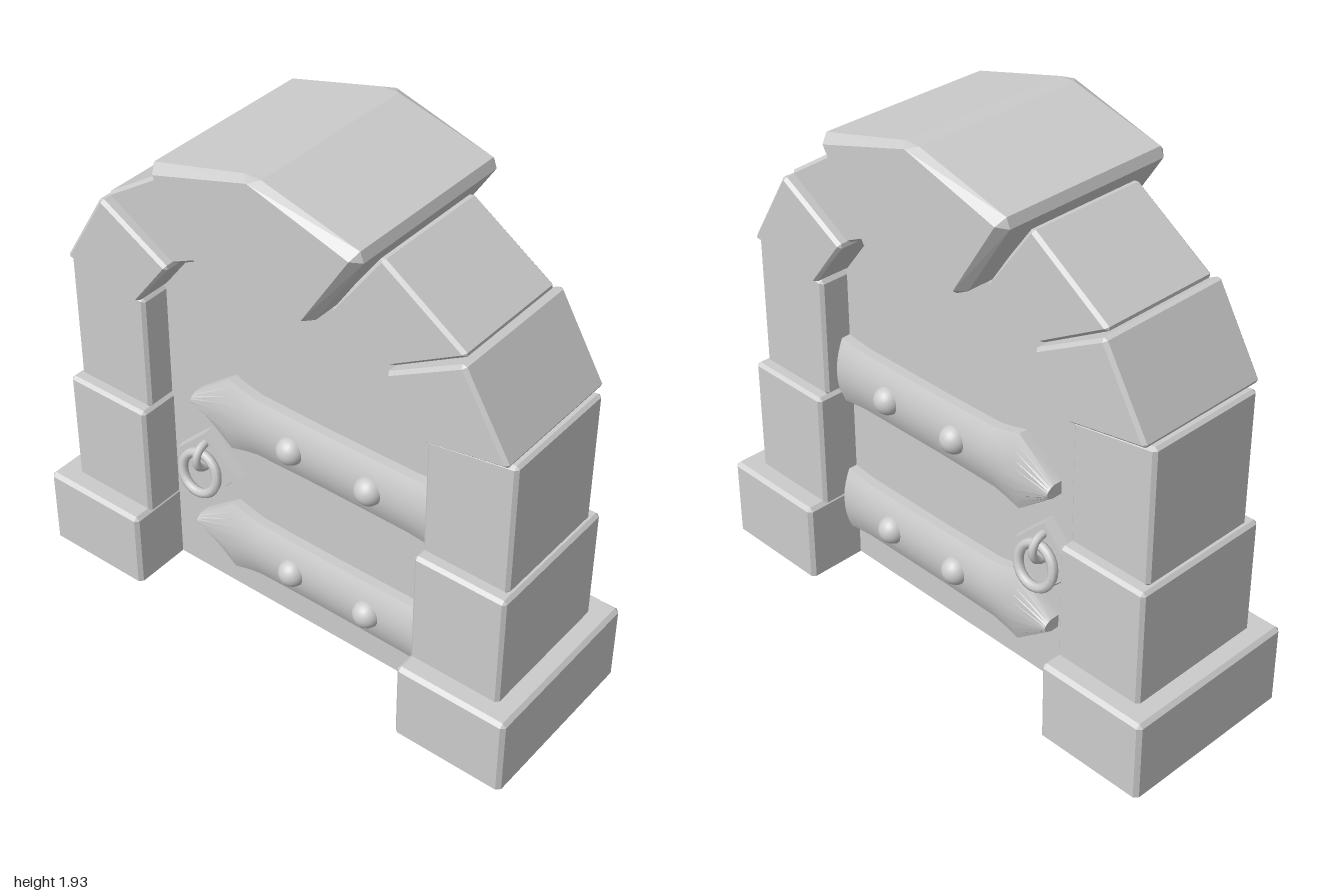
import * as THREE from 'three';
import { ConvexGeometry } from 'three/addons/geometries/ConvexGeometry.js';
import { toCreasedNormals } from 'three/addons/utils/BufferGeometryUtils.js';

const stoneMat = new THREE.MeshStandardMaterial({ color: 0xcccccc, flatShading: true, side: THREE.DoubleSide });
const smoothMat = new THREE.MeshStandardMaterial({ color: 0xcccccc, side: THREE.DoubleSide });

function add(parent, name, geometry, material, x = 0, y = 0, z = 0) {
  const mesh = new THREE.Mesh(geometry, material);
  mesh.name = name;
  mesh.position.set(x, y, z);
  parent.add(mesh);
  return mesh;
}

// Convex outline in x/y, given depth in z, every edge chamfered by c
function chamferedStone(outline, halfDepth, c) {
  const pts = [];
  const n = outline.length;
  const corners = outline.map(([x, y]) => new THREE.Vector3(x, y, 0));
  corners.forEach((p, i) => {
    const a = corners[(i + 1) % n].clone().sub(p).normalize().multiplyScalar(c);
    const b = corners[(i + n - 1) % n].clone().sub(p).normalize().multiplyScalar(c);
    for (const s of [-1, 1]) {
      const q = p.clone().setZ(s * halfDepth);
      const d = new THREE.Vector3(0, 0, -s * c);
      pts.push(q.clone().add(a).add(b), q.clone().add(a).add(d), q.clone().add(b).add(d));
    }
  });
  return new ConvexGeometry(pts);
}

// Footing: chamfered on top and upright edges, open underneath
function footingGeometry(x0, x1, h, d, c) {
  const pts = [];
  for (const [x, sx] of [[x0, 1], [x1, -1]]) for (const s of [-1, 1]) {
    const z = s * d;
    pts.push(new THREE.Vector3(x + sx * c, h, z - s * c));
    for (const y of [0, h - c]) {
      pts.push(new THREE.Vector3(x + sx * c, y, z), new THREE.Vector3(x, y, z - s * c));
    }
  }
  const hull = new ConvexGeometry(pts);
  const src = hull.attributes.position.array;
  const keep = [];
  for (let i = 0; i < src.length; i += 9) {
    if (Math.max(src[i + 1], src[i + 4], src[i + 7]) > 1e-4) keep.push(...src.slice(i, i + 9));
  }
  const g = new THREE.BufferGeometry();
  g.setAttribute('position', new THREE.Float32BufferAttribute(keep, 3));
  g.computeVertexNormals();
  return g;
}

// Domed hinge strap: stations along x with half height, closed down to z = 0
function strapGeometry() {
  const stations = [[-0.435, 0.025, 0], [-0.435, 0.025, 1], [-0.28, 0.147, 1], [-0.225, 0.13, 1],
    [-0.165, 0.117, 1], [0.1, 0.113, 1], [0.47, 0.115, 1], [0.54, 0.122, 1], [0.64, 0.135, 1]];
  const rows = 12;
  const g = new THREE.PlaneGeometry(1, 1, stations.length - 1, rows);
  const p = g.attributes.position;
  for (let r = 0; r <= rows; r++) {
    const t = THREE.MathUtils.clamp(1 - 2 * (r - 1) / (rows - 2), -1, 1);
    stations.forEach(([x, h, up], i) => {
      const edge = r === 0 || r === rows;
      p.setXYZ(r * stations.length + i, x, h * t, edge ? 0 : up * (0.035 + 0.03 * (1 - t * t)));
    });
  }
  return toCreasedNormals(g, 0.5);
}

export function createModel() {
  const model = new THREE.Group();
  model.name = 'archedDoorway';
  const doorFace = 0.12;

  // Door slab
  const half = [[0.62, 0], [0.62, 1.185], [0.53, 1.29], [0.44, 1.375], [0.32, 1.45], [0.21, 1.5]];
  const outline = [...half, ...half.map(([x, y]) => [-x, y]).reverse()];
  const door = new THREE.ExtrudeGeometry(new THREE.Shape(outline.map(([x, y]) => new THREE.Vector2(x, y))),
    { depth: 2 * doorFace, bevelEnabled: false });
  add(model, 'door', door, stoneMat, 0, 0, -doorFace);

  // Pillars and arch stones, mirrored
  const stones = [
    ['lowerPillarStone', [[0.575, 0.28], [0.925, 0.28], [0.925, 0.735], [0.575, 0.735]], 0.273],
    ['upperPillarStone', [[0.58, 0.73], [0.908, 0.73], [0.908, 1.24], [0.58, 1.185]], 0.233],
    ['lowerArchStone', [[0.583, 1.19], [0.897, 1.245], [0.718, 1.545], [0.435, 1.385]], 0.262],
    ['upperArchStone', [[0.437, 1.39], [0.713, 1.552], [0.395, 1.765], [0.205, 1.5]], 0.233],
  ];
  for (const s of [1, -1]) {
    const side = s > 0 ? 'left' : 'right';
    const [a, b] = [0.573 * s, 1.0 * s].sort((m, n) => m - n);
    add(model, side + 'Footing', footingGeometry(a, b, 0.3, 0.347, 0.014), stoneMat);
    for (const [name, pts, depth] of stones) {
      add(model, `${side} ${name}`, chamferedStone(pts.map(([x, y]) => [s * x, y]), depth, 0.012), stoneMat);
    }
  }

  // Keystone
  add(model, 'keystone', chamferedStone(
    [[-0.215, 1.5], [0.215, 1.5], [0.425, 1.828], [0, 1.94], [-0.425, 1.828]], 0.362, 0.032), stoneMat);

  // Hardware on both faces of the door
  const strap = strapGeometry();
  const rivet = new THREE.SphereGeometry(0.052, 20, 8, 0, Math.PI * 2, 0, Math.PI / 2).rotateX(Math.PI / 2);
  for (const face of [1, -1]) {
    const z = face * doorFace;
    for (const y of [0.262, 0.808]) {
      const hinge = new THREE.Group();
      hinge.name = 'hinge';
      hinge.position.set(0, y, z);
      if (face < 0) hinge.rotation.x = Math.PI;
      add(hinge, 'strap', strap, smoothMat);
      for (const x of [0, 0.325]) add(hinge, 'rivet', rivet, smoothMat, x, 0, 0.055);
      model.add(hinge);
    }

    const latch = new THREE.Group();
    latch.name = 'latch';
    latch.position.set(-0.398, 0.53, z);
    if (face < 0) latch.rotation.y = Math.PI;
    // Diamond plate with slightly sloped sides
    const plate = new THREE.CylinderGeometry(0.138, 0.148, 0.04, 4).rotateX(Math.PI / 2);
    add(latch, 'plate', plate, stoneMat, 0, 0, 0.02);
    // Ring, tilted outward at the bottom, hung from a staple
    const ring = add(latch, 'ring', new THREE.TorusGeometry(0.077, 0.018, 8, 24), smoothMat, 0, -0.015, 0.075);
    ring.rotation.x = -0.2;
    const staple = new THREE.TorusGeometry(0.05, 0.015, 8, 14, Math.PI).rotateZ(-Math.PI / 2).rotateY(-Math.PI / 2);
    add(latch, 'staple', staple, smoothMat, 0, 0.045, 0.04);
    model.add(latch);
  }
  return model;
}
